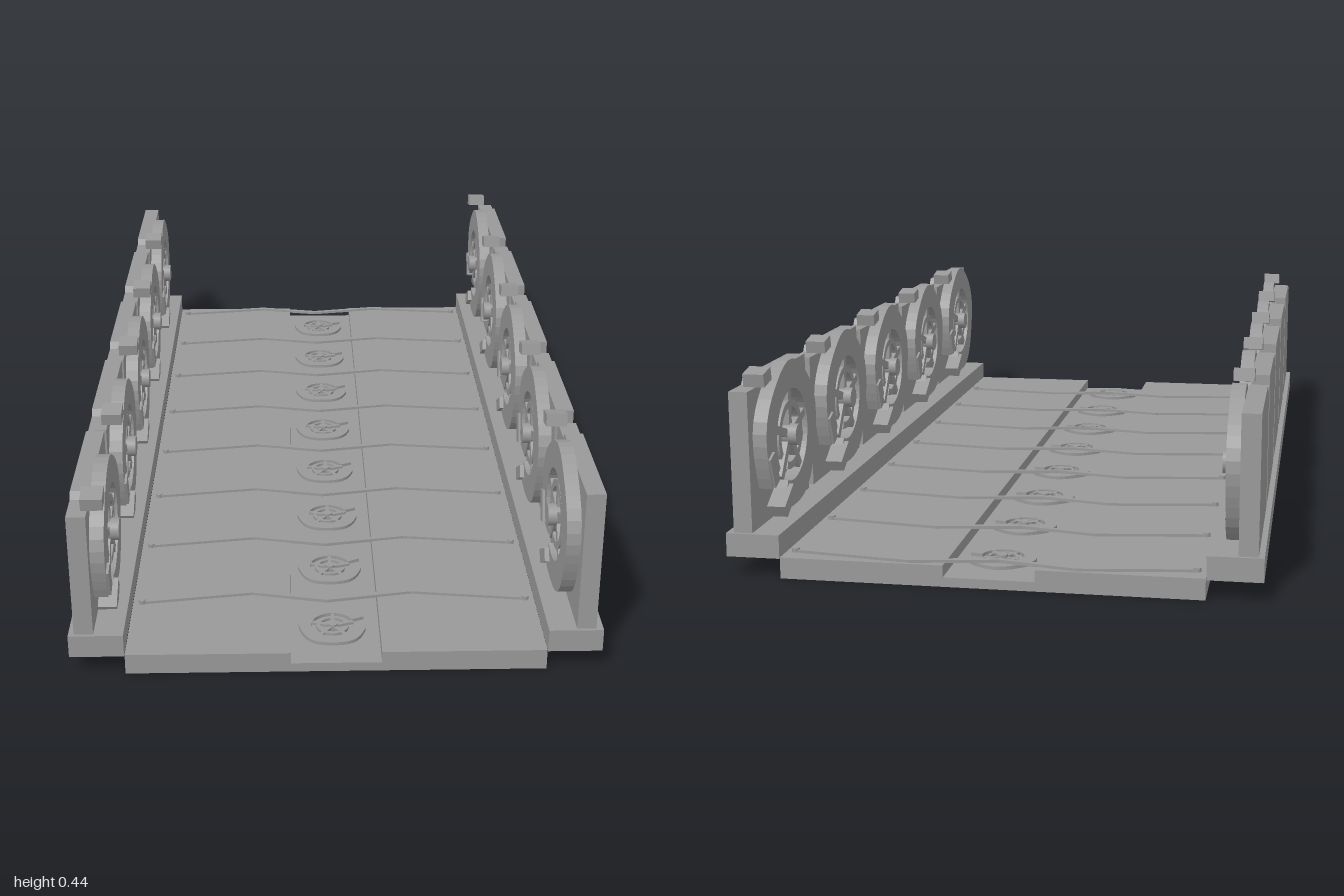
import * as THREE from 'three';

const stone = new THREE.MeshStandardMaterial({ color: 0x999999 });
stone.name = 'grey stone';

function mesh(name, geometry, parent, x = 0, y = 0, z = 0) {
  const m = new THREE.Mesh(geometry, stone);
  m.name = name;
  m.position.set(x, y, z);
  parent.add(m);
  return m;
}

const extrude = (shape, depth) =>
  new THREE.ExtrudeGeometry(shape, { depth, bevelEnabled: false, curveSegments: 16 });

// Open ring, slightly wavy on its outer edge, running from angle a0 to a1
function openRing(inner, outer, a0, a1, wave = 0, n = 36) {
  const points = [];
  for (let i = 0; i <= n; i++) {
    const a = a0 + (a1 - a0) * i / n;
    const r = outer * (1 - wave * (0.5 - 0.5 * Math.cos(5 * (a - Math.PI / 2))));
    points.push(new THREE.Vector2(r * Math.cos(a), r * Math.sin(a)));
  }
  for (let i = n; i >= 0; i--) {
    const a = a0 + (a1 - a0) * i / n;
    points.push(new THREE.Vector2(inner * Math.cos(a), inner * Math.sin(a)));
  }
  return new THREE.Shape(points);
}

// Wheel emblem facing +z: open ring, spokes and hub
function createEmblem(gapAngle) {
  const emblem = new THREE.Group();
  emblem.name = 'wheelEmblem';
  const half = 0.3;
  mesh('openRing', extrude(
    openRing(0.1, 0.165, gapAngle + half, gapAngle + Math.PI * 2 - half, 0.05), 0.03), emblem);
  mesh('wheelRim', extrude(
    openRing(0.06, 0.076, gapAngle + half, gapAngle + Math.PI * 2 - half), 0.026), emblem);
  for (let i = 0; i < 5; i++) {
    const a = Math.PI / 2 + i * Math.PI * 2 / 5;
    const spoke = mesh('spoke', new THREE.BoxGeometry(0.085, 0.018, 0.024), emblem,
      0.06 * Math.cos(a), 0.06 * Math.sin(a), 0.014);
    spoke.rotation.z = a;
  }
  const hub = mesh('hub', new THREE.CylinderGeometry(0.024, 0.024, 0.06, 14), emblem, 0, 0, 0.015);
  hub.rotation.x = Math.PI / 2;
  return emblem;
}

// Wall bay for the left side: slab outside, emblem inside
function createBay() {
  const bay = new THREE.Group();
  bay.name = 'wallBay';
  const face = new THREE.Group();
  face.name = 'wallFace';
  face.rotation.y = -Math.PI / 2;
  bay.add(face);

  const slab = new THREE.Shape([
    [-0.185, 0.08], [0.185, 0.08], [0.185, 0.405], [-0.1, 0.405], [-0.11, 0.39], [-0.185, 0.39],
  ].map(([x, y]) => new THREE.Vector2(x, y)));
  mesh('slab', extrude(slab, 0.04), face, 0, 0, -0.04);

  const emblem = createEmblem(Math.PI * 1.28);
  emblem.position.set(0, 0.262, 0);
  face.add(emblem);

  // Raised blocks at the ring's opening and at the upper corner
  const foot = mesh('ringFoot', new THREE.BoxGeometry(0.07, 0.03, 0.04), face, -0.055, 0.13, 0.02);
  foot.rotation.z = 0.55;
  const tail = mesh('ringTail', new THREE.BoxGeometry(0.07, 0.03, 0.035), face, -0.13, 0.215, 0.018);
  tail.rotation.z = -1.2;
  const tip = mesh('cornerBlock', new THREE.BoxGeometry(0.045, 0.028, 0.045), face, -0.155, 0.417, 0.012);
  tip.rotation.z = 0.2;
  return bay;
}

// Zigzag rib lying across the deck
function createRib() {
  const rib = new THREE.Group();
  rib.name = 'deckRib';
  const path = [[-0.42, 0], [-0.18, -0.034], [-0.015, 0], [0.17, -0.032], [0.42, 0]];
  for (let i = 0; i < path.length - 1; i++) {
    const [x0, z0] = path[i], [x1, z1] = path[i + 1];
    const bar = mesh('ribBar', new THREE.BoxGeometry(Math.hypot(x1 - x0, z1 - z0) + 0.004, 0.007, 0.011),
      rib, (x0 + x1) / 2, 0.0475, (z0 + z1) / 2);
    bar.rotation.y = -Math.atan2(z1 - z0, x1 - x0);
  }
  for (const x of [-0.42, 0.42]) {
    mesh('ribEnd', new THREE.CylinderGeometry(0.008, 0.008, 0.012, 10), rib, x, 0.048, 0);
  }
  return rib;
}

export function createModel() {
  const model = new THREE.Group();
  model.name = 'walledCauseway';

  // Deck with a central channel
  const profile = new THREE.Shape([
    [-0.44, 0], [0.44, 0], [0.44, 0.045], [0.095, 0.045],
    [0.095, 0.02], [-0.095, 0.02], [-0.095, 0.045], [-0.44, 0.045],
  ].map(([x, y]) => new THREE.Vector2(x, y)));
  mesh('deck', extrude(profile, 2), model, 0, 0, -1);

  // Channel emblems and deck ribs
  for (let i = 0; i < 8; i++) {
    const emblem = createEmblem(0.12);
    emblem.name = 'channelEmblem';
    emblem.scale.set(0.455, 0.455, 0.25);
    emblem.rotation.x = -Math.PI / 2;
    emblem.position.set(-0.005, 0.026, -0.878 + i * 0.25);
    model.add(emblem);

    const rib = createRib();
    rib.position.z = -0.955 + i * 0.25;
    model.add(rib);
  }

  // Kerbs and walls; the right wall is turned round and set a little lower
  for (const side of [1, -1]) {
    mesh(side > 0 ? 'leftKerb' : 'rightKerb', new THREE.BoxGeometry(0.114, 0.05, 2), model,
      side * 0.498, 0.067, 0);
    const wall = new THREE.Group();
    wall.name = side > 0 ? 'leftWall' : 'rightWall';
    for (let i = -2; i <= 2; i++) {
      const bay = createBay();
      bay.position.z = i * 0.404;
      wall.add(bay);
    }
    wall.position.set(side > 0 ? 0.5 : -0.503, side > 0 ? 0 : -0.024, 0);
    if (side < 0) wall.rotation.y = Math.PI;
    model.add(wall);
  }
  return model;
}
